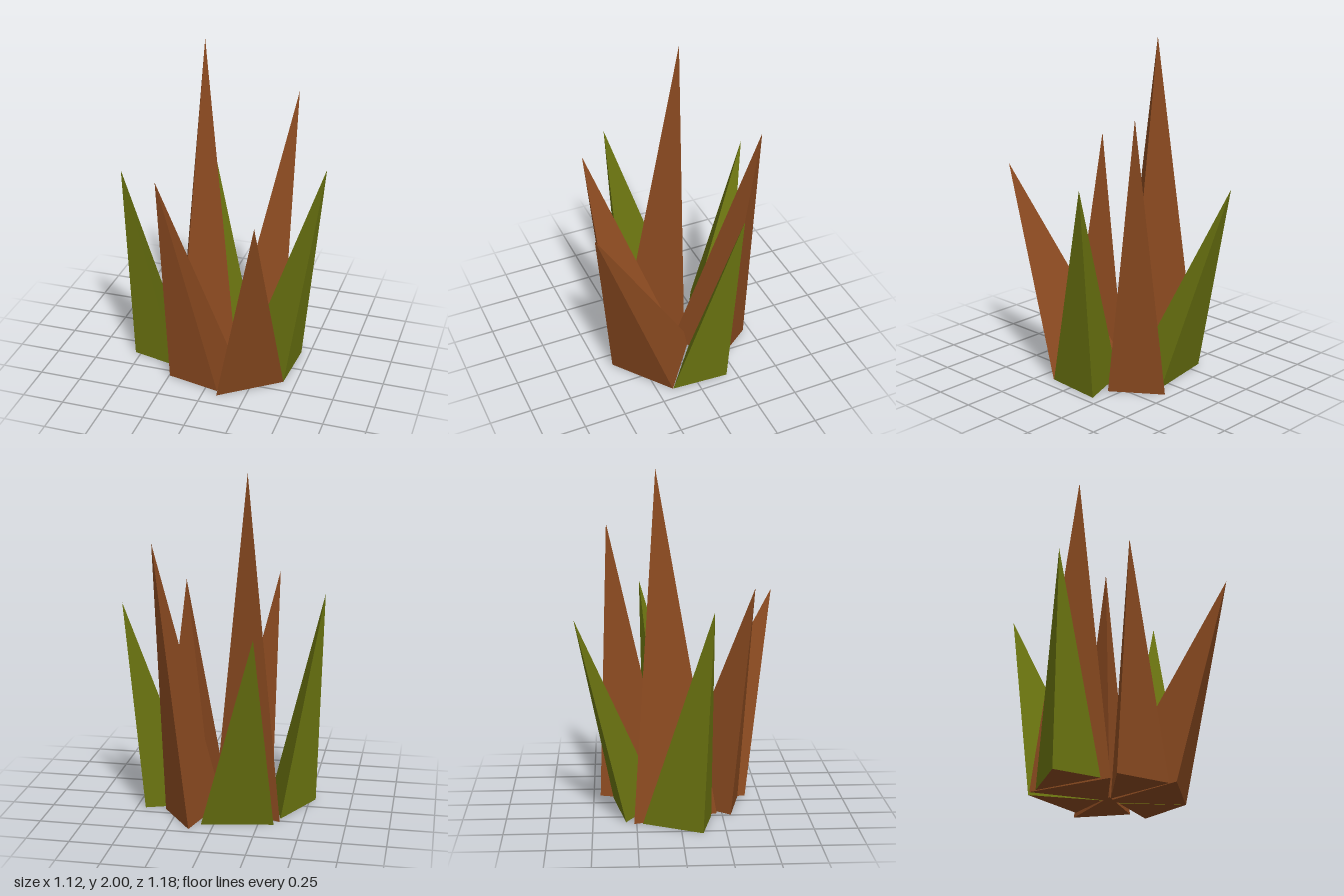
import * as THREE from 'three';

const brown = new THREE.MeshStandardMaterial({ color: 0x8b4a20, flatShading: true });
const green = new THREE.MeshStandardMaterial({ color: 0x6b7410, flatShading: true });

// Each blade: leaning tip [x, y, z] over a triangular foot of [x, z] corners on the ground
const blades = [
  { name: 'tallBlade', mat: brown, tip: [-0.15, 2.0, -0.13], foot: [[-0.37, -0.265], [-0.215, 0.22], [0.05, -0.087]] },
  { name: 'backLeftBlade', mat: brown, tip: [0.335, 1.64, -0.41], foot: [[0.13, -0.46], [0.323, -0.19], [0.012, -0.03]] },
  { name: 'frontRightBlade', mat: brown, tip: [-0.263, 1.34, 0.425], foot: [[-0.245, 0.3], [0.075, 0.37], [0.035, -0.045]] },
  { name: 'frontLeftBlade', mat: brown, tip: [0.356, 1.23, 0.59], foot: [[0.085, 0.415], [0.425, 0.158], [0.053, -0.122]] },
  { name: 'rightLeaf', mat: green, tip: [-0.565, 1.265, 0.175], foot: [[-0.535, 0.12], [-0.255, 0.185], [-0.367, -0.215]] },
  { name: 'leftLeaf', mat: green, tip: [0.56, 1.255, -0.21], foot: [[0.425, 0.155], [0.447, -0.19], [0.13, -0.078]] },
  { name: 'backLeaf', mat: green, tip: [-0.26, 1.17, -0.595], foot: [[-0.34, -0.31], [0.073, -0.38], [0.022, -0.105]] },
];

function triangles(list) {
  const geometry = new THREE.BufferGeometry();
  geometry.setAttribute('position', new THREE.Float32BufferAttribute(list.flat(2), 3));
  geometry.computeVertexNormals();
  return geometry;
}

function makeBlade({ name, mat, tip, foot }) {
  const group = new THREE.Group();
  group.name = name;

  // Put the corners in one turning order so every face points outward
  const [a, b, c] = foot;
  const turn = (b[0] - a[0]) * (c[1] - a[1]) - (b[1] - a[1]) * (c[0] - a[0]);
  const ring = (turn > 0 ? [a, c, b] : [a, b, c]).map(([x, z]) => [x, 0, z]);

  // Three tapering sides
  const sides = new THREE.Mesh(triangles(ring.map((p, i) => [p, ring[(i + 1) % 3], tip])), mat);
  sides.name = name + 'Sides';

  // Brown underside
  const base = new THREE.Mesh(triangles([[ring[0], ring[2], ring[1]]]), brown);
  base.name = name + 'Base';

  group.add(sides, base);
  return group;
}

export function createModel() {
  const model = new THREE.Group();
  model.name = 'spikyPlant';
  blades.forEach((blade) => model.add(makeBlade(blade)));
  return model;
}
